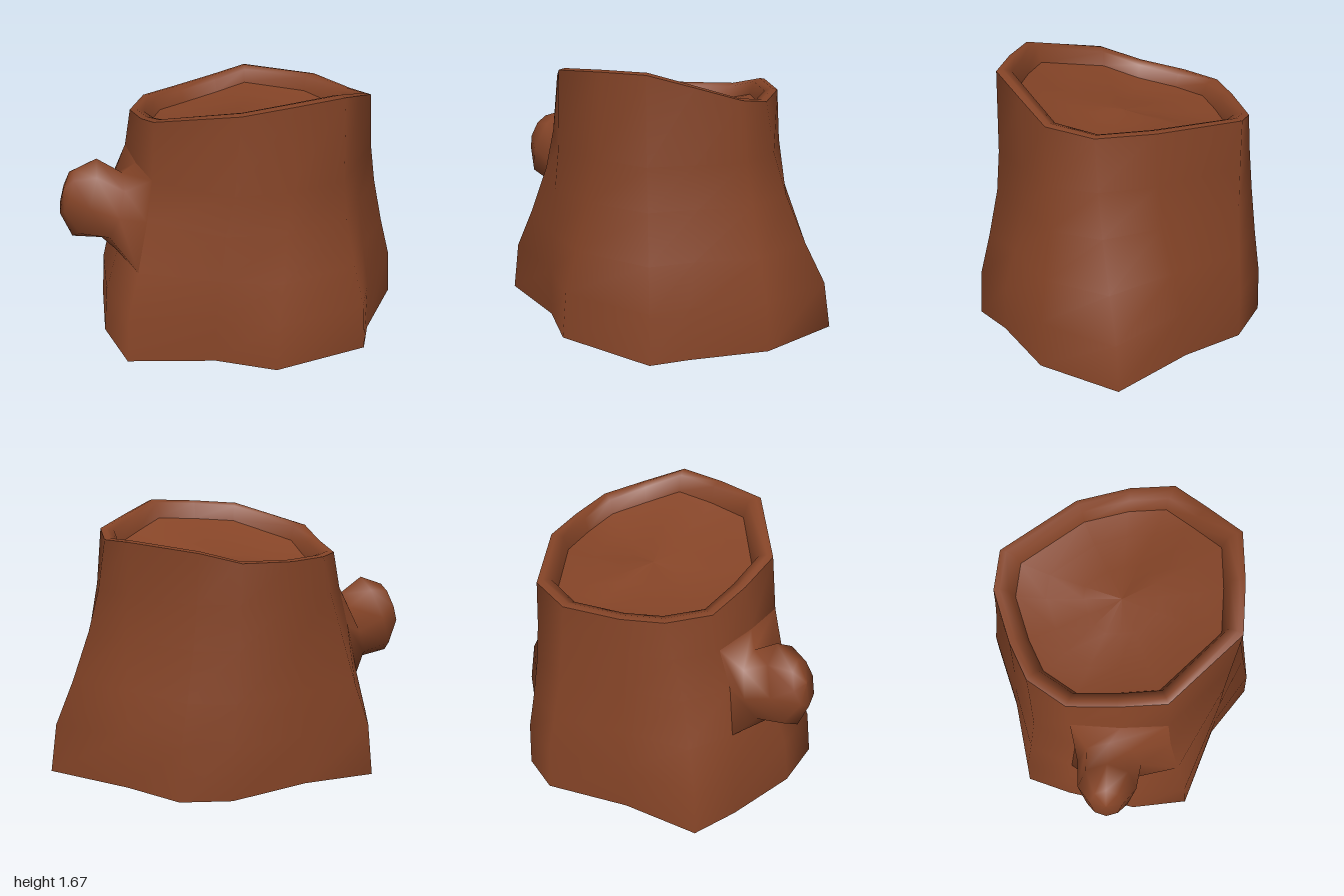
import * as THREE from 'three';

const V = (x, y, z) => new THREE.Vector3(x, y, z);

// Skin rings of equal length into one smooth surface; skip(ring, col) leaves a hole.
function loft(rings, skip = () => false) {
  const n = rings[0].length;
  const pos = rings.flat().flatMap((p) => [p.x, p.y, p.z]);
  const index = [];
  for (let r = 0; r < rings.length - 1; r++) {
    for (let i = 0; i < n; i++) {
      if (skip(r, i)) continue;
      const j = (i + 1) % n;
      const a = r * n + i, b = r * n + j, c = (r + 1) * n + j, d = (r + 1) * n + i;
      index.push(a, b, c, a, c, d);
    }
  }
  const g = new THREE.BufferGeometry();
  g.setAttribute('position', new THREE.Float32BufferAttribute(pos, 3));
  g.setIndex(index);
  g.computeVertexNormals();
  return g;
}

export function createModel() {
  const group = new THREE.Group();
  const bark = new THREE.MeshStandardMaterial({ color: 0x854427, side: THREE.DoubleSide });
  bark.name = 'brown bark';
  const add = (name, geometry) => {
    const mesh = new THREE.Mesh(geometry, bark);
    mesh.name = name;
    group.add(mesh);
  };

  // Trunk columns, front round to the left: base x z, waist x z, top x z y
  const columns = [
    [0.20, 0.74, 0.25, 0.69, 0.33, 0.65, 1.63],
    [0.59, 0.69, 0.57, 0.52, 0.57, 0.43, 1.65],
    [1.00, 0.22, 0.83, 0.20, 0.78, 0.20, 1.66],
    [0.95, -0.02, 0.81, -0.10, 0.78, -0.08, 1.58],
    [0.96, -0.50, 0.82, -0.42, 0.775, -0.35, 1.50],
    [0.71, -0.97, 0.62, -0.68, 0.58, -0.55, 1.45],
    [0.16, -0.905, 0.26, -0.77, 0.27, -0.71, 1.46],
    [-0.24, -0.94, -0.27, -0.83, -0.29, -0.79, 1.43],
    [-0.52, -0.81, -0.50, -0.69, -0.48, -0.64, 1.37],
    [-0.74, -0.32, -0.67, -0.31, -0.63, -0.32, 1.36],
    [-1.00, 0.09, -0.80, 0.03, -0.71, -0.07, 1.37],
    [-0.86, 0.36, -0.71, 0.32, -0.65, 0.21, 1.37],
    [-0.60, 0.75, -0.50, 0.55, -0.44, 0.43, 1.42],
    [-0.30, 0.97, -0.26, 0.72, -0.235, 0.63, 1.50],
  ];
  const base = columns.map((c, i) => V(c[0], 0.015 + 0.015 * Math.sin(i * 1.7), c[1]));
  const waist = columns.map((c) => V(c[2], 0.88, c[3]));
  const top = columns.map((c) => V(c[4], c[6], c[5]));
  const between = (a, b, t, y) => a.map((p, i) => {
    const q = p.clone().lerp(b[i], t);
    q.y = y;
    return q;
  });
  const low = between(base, waist, 0.15, 0.32);
  const knee = between(base, waist, 0.58, 0.58);
  const shoulder = between(waist, top, 0.6, 1.14);

  // Flared trunk wall, open underneath and where the branch grows out
  const inHole = (r, i) => (r === 2 || r === 3) && (i === 11 || i === 12);
  add('trunk', loft([base, low, knee, waist, shoulder, top], inHole));

  // Cut top: raised rim around a shallow bowl
  const centre = V(0.06, 1.49, -0.07);
  const inset = (scale, drop, flatten) => top.map((p) => V(
    centre.x + (p.x - centre.x) * scale,
    THREE.MathUtils.lerp(p.y, centre.y, flatten) - drop,
    centre.z + (p.z - centre.z) * scale,
  ));
  add('rim', loft([top, inset(0.95, -0.008, 0), inset(0.88, 0.01, 0), inset(0.84, 0.1, 0.1)]));
  add('hollowFloor', loft([inset(0.84, 0.1, 0.1), inset(0.6, 0.14, 0.35), inset(0.3, 0.15, 0.7), inset(0, 0.15, 1)]));

  // Branch stub: starts on the edge of the trunk opening and swells to a blunt knob
  const axis = V(-0.66, 0.35, 0.66).normalize();
  const side = V(1, 0, 1).normalize();
  const up = axis.clone().cross(side);
  const ring = (x, y, z, w, h) => Array.from({ length: 8 }, (_, k) => {
    const a = (k * Math.PI) / 4;
    return V(x, y, z).addScaledVector(side, w * Math.cos(a)).addScaledVector(up, h * Math.sin(a));
  });
  const opening = [waist[13], shoulder[13], shoulder[12], shoulder[11], waist[11], knee[11], knee[12], knee[13]];
  add('branchStub', loft([
    opening,
    ring(-0.62, 0.84, 0.54, 0.2, 0.23),
    ring(-0.745, 0.92, 0.655, 0.18, 0.27),
    ring(-0.82, 0.98, 0.73, 0.1, 0.15),
    ring(-0.835, 0.99, 0.745, 0, 0),
  ]));

  return group;
}
